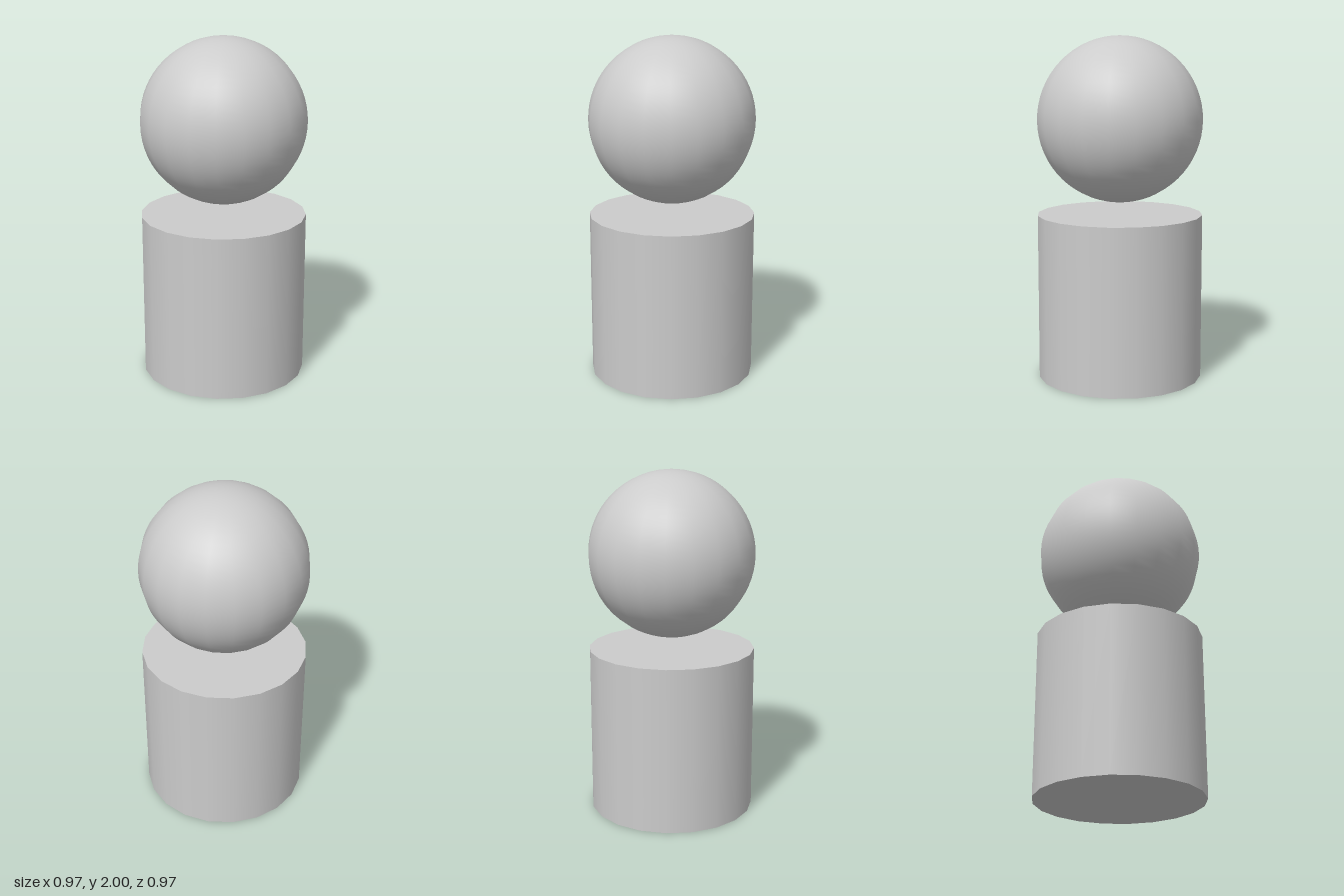
import * as THREE from 'three';

export function createModel() {
  const group = new THREE.Group();
  const material = new THREE.MeshStandardMaterial({ color: 0xcccccc });
  const sides = 20;
  const bodyRadius = 0.483, bodyHeight = 0.967, headRadius = 0.481;

  // Upright cylinder standing on the ground
  const body = new THREE.Mesh(
    new THREE.CylinderGeometry(bodyRadius, bodyRadius, bodyHeight, sides), material);
  body.name = 'body';
  body.position.y = bodyHeight / 2;

  // Ball floating just above the cylinder
  const head = new THREE.Mesh(new THREE.SphereGeometry(headRadius, sides, 32), material);
  head.name = 'head';
  head.position.y = 2 - headRadius;

  group.add(body, head);
  return group;
}
